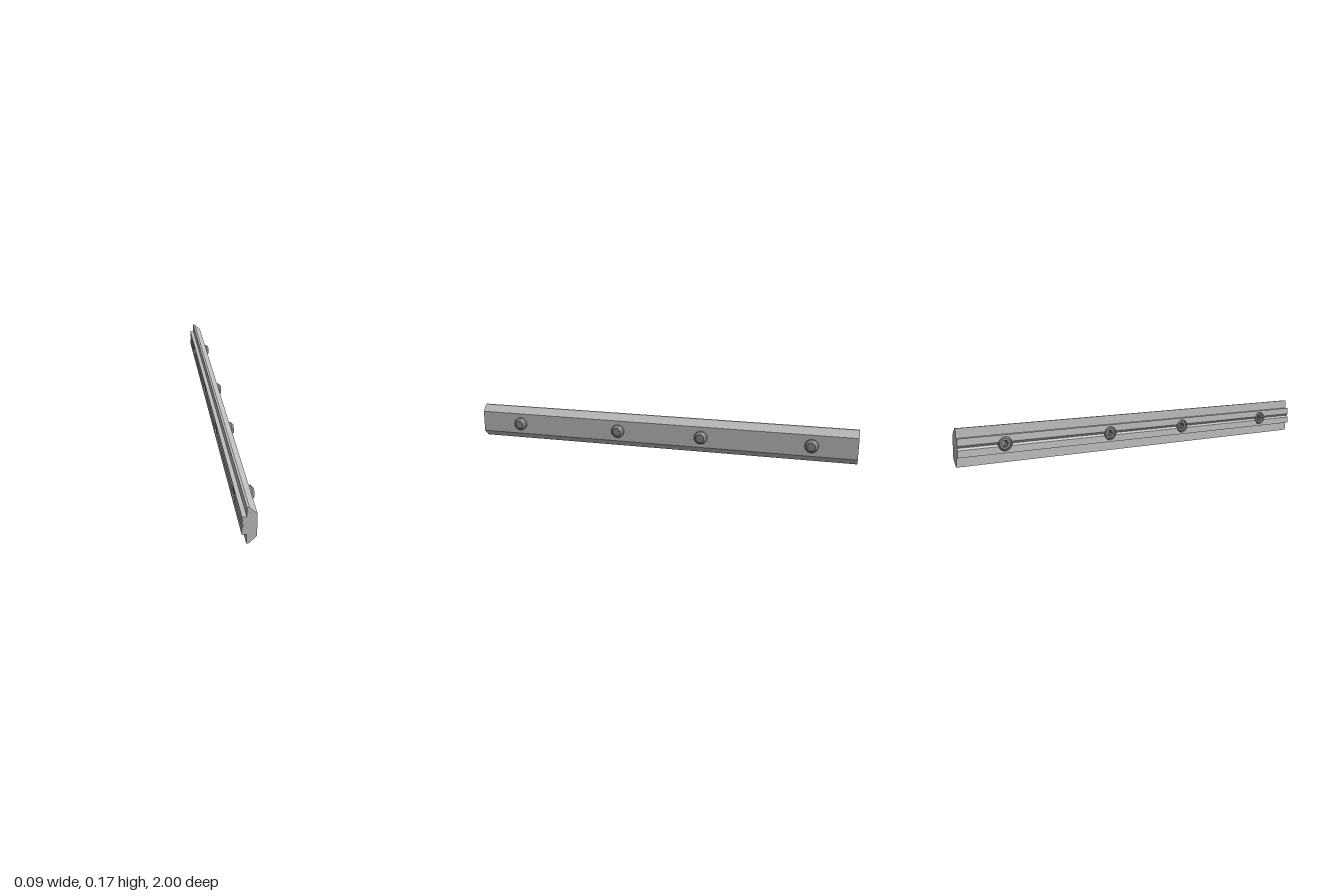
import * as THREE from 'three';
import { toCreasedNormals } from 'three/addons/utils/BufferGeometryUtils.js';

const steel = new THREE.MeshStandardMaterial({ color: 0xc0c0c0 });
steel.name = 'light steel';
const darkSteel = new THREE.MeshStandardMaterial({ color: 0x8a8a8a });
darkSteel.name = 'dark steel';

const MID = 0.088;               // height of the screw axes
const BACK = -0.044, STEP = -0.025, FACE = 0.018;
const LOW = 0.045, HIGH = 0.131; // raised rib on the slotted side
const R = 0.033, HALF = 0.0335;  // screw radius, half width of a drilled block
const screwZ = [-0.777, -0.222, 0.222, 0.777];

const shapeOf = (pts) => new THREE.Shape(pts.map(([x, y]) => new THREE.Vector2(x, y)));

function add(parent, name, geometry, material) {
  const mesh = new THREE.Mesh(geometry, material);
  mesh.name = name;
  parent.add(mesh);
  return mesh;
}

// Cross-section in x and y, swept from z0 to z1
function sweep(pts, z0, z1) {
  const g = new THREE.ExtrudeGeometry(shapeOf(pts), { depth: z1 - z0, bevelEnabled: false });
  return g.translate(0, 0, z0);
}

// Outline across the bar, swept from x0 to x1
function sweepX(shape, x0, x1) {
  const g = new THREE.ExtrudeGeometry(shape, { depth: x1 - x0, bevelEnabled: false, curveSegments: 24 });
  return toCreasedNormals(g.rotateY(Math.PI / 2).translate(x0, 0, 0), 0.6);
}

function createScrew() {
  const screw = new THREE.Group();
  screw.name = 'setScrew';
  // Body with a chamfer at each end
  const profile = [[0.026, -0.04], [R, -0.034], [R, 0.032], [0.021, 0.044], [0, 0.044]]
    .map(([r, h]) => new THREE.Vector2(r, h));
  const body = new THREE.LatheGeometry(profile, 40).rotateZ(-Math.PI / 2);
  add(screw, 'screwBody', toCreasedNormals(body, 0.5), darkSteel);
  // Hexagonal socket
  const head = new THREE.Shape().absarc(0, 0, 0.026, 0, Math.PI * 2);
  const hex = [];
  for (let i = 0; i < 6; i++) {
    const a = (i * Math.PI) / 3;
    hex.push(new THREE.Vector2(0.017 * Math.cos(a), 0.017 * Math.sin(a)));
  }
  head.holes.push(new THREE.Path(hex));
  add(screw, 'screwSocket', sweepX(head, -0.04, -0.008), darkSteel);
  const floor = new THREE.CircleGeometry(0.02, 24).rotateY(-Math.PI / 2).translate(-0.009, 0, 0);
  add(screw, 'socketFloor', floor, darkSteel);
  return screw;
}

export function createModel() {
  const model = new THREE.Group();
  model.name = 'railConnector';
  const bar = new THREE.Group();
  bar.name = 'bar';
  model.add(bar);

  // Chamfered flanges above and below the rib
  add(bar, 'lowerFlange', sweep([[STEP, 0], [-0.015, 0], [FACE, 0.033], [FACE, LOW], [STEP, LOW]], -1, 1), steel);
  add(bar, 'upperFlange', sweep([[STEP, HIGH], [FACE, HIGH], [FACE, 0.142], [-0.015, 0.175], [STEP, 0.175]], -1, 1), steel);

  // Rib with its V groove, interrupted at each screw
  const rib = [[BACK, LOW], [FACE, LOW], [FACE, HIGH], [BACK, HIGH],
    [BACK, MID + 0.01], [BACK + 0.007, MID], [BACK, MID - 0.01]];
  let start = -1;
  for (const z of [...screwZ, 1 + HALF]) {
    add(bar, 'ribSection', sweep(rib, start, z - HALF), steel);
    start = z + HALF;
  }

  // Drilled blocks and the screws in them
  const block = shapeOf([[-HALF, LOW], [HALF, LOW], [HALF, HIGH], [-HALF, HIGH]]);
  block.holes.push(new THREE.Path().absarc(0, MID, R + 0.0002, 0, Math.PI * 2, true));
  const blockGeometry = sweepX(block, BACK, FACE);
  for (const z of screwZ) {
    add(bar, 'drilledBlock', blockGeometry, steel).position.z = z;
    const screw = createScrew();
    screw.position.set(0, MID, z);
    model.add(screw);
  }
  return model;
}
